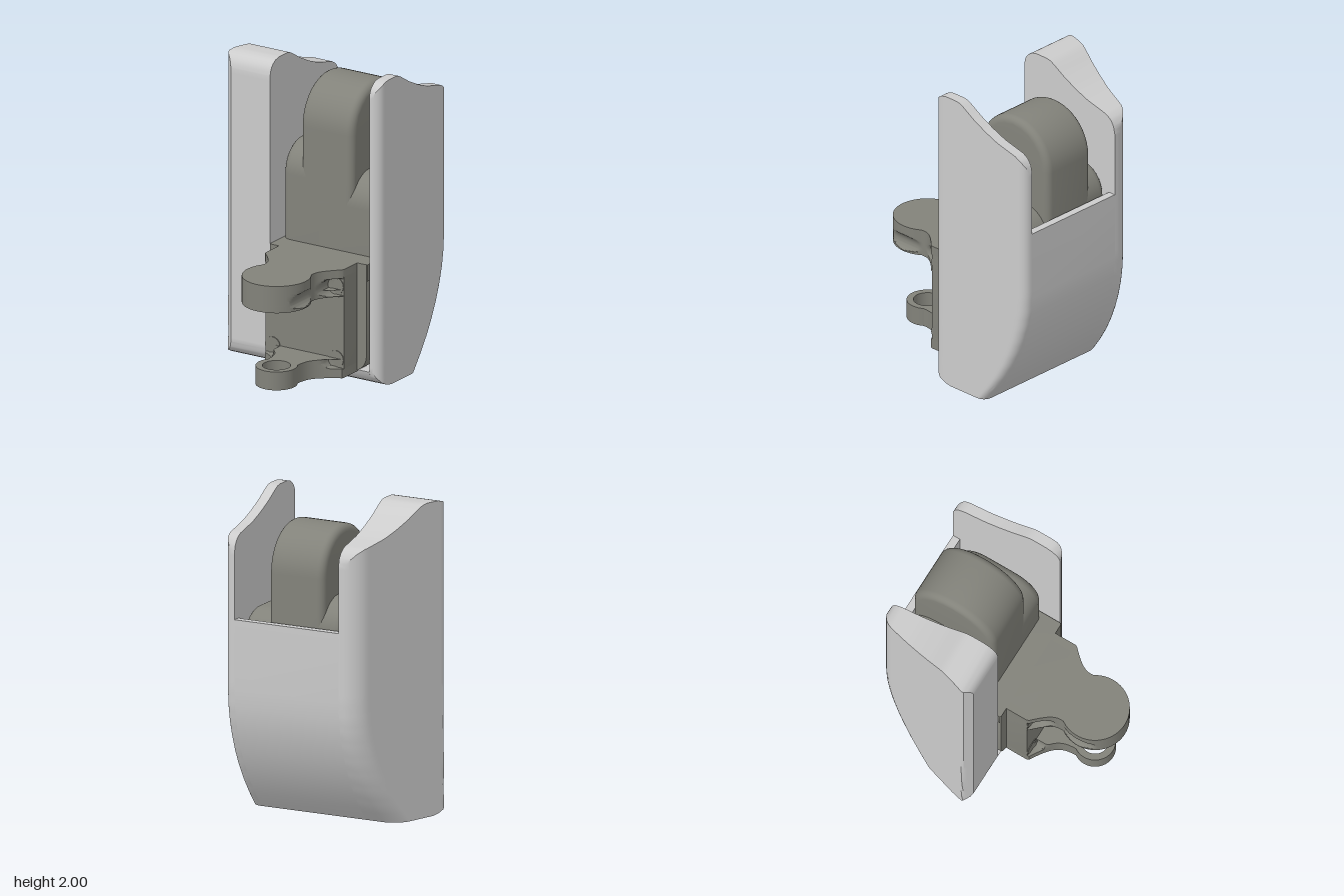
import * as THREE from 'three';
import { toCreasedNormals } from 'three/addons/utils/BufferGeometryUtils.js';

const shellMat = new THREE.MeshStandardMaterial({ color: 0xcccccc });
const coreMat = new THREE.MeshStandardMaterial({ color: 0x82827a });

// Linear interpolation through [key, value] pairs sorted by key
function lookup(table, k) {
  if (k <= table[0][0]) return table[0][1];
  for (let i = 1; i < table.length; i++) {
    const [a, va] = table[i - 1], [b, vb] = table[i];
    if (k <= b) return va + (vb - va) * (k - a) / (b - a);
  }
  return table[table.length - 1][1];
}

// Side profile of the shell: back z by height, top and bottom heights by z
const BACK = [[0, -0.39], [0.1, -0.47], [0.2, -0.54], [0.3, -0.598], [0.4, -0.645], [0.5, -0.682],
  [0.6, -0.71], [0.7, -0.727], [0.82, -0.735]];
const TOP = [[-0.735, 1.68], [-0.725, 1.73], [-0.7, 1.77], [-0.66, 1.795], [-0.5, 1.835], [-0.4, 1.875],
  [-0.3, 1.925], [-0.21, 1.98], [-0.18, 1.995], [-0.15, 2], [-0.06, 2], [-0.02, 1.99], [0.015, 1.965], [0.033, 1.935], [0.04, 1.9]];
const BOTTOM = [[-0.1, 0], [-0.05, 0.01], [0, 0.035], [0.028, 0.07], [0.04, 0.11]];
const FRONT_Z = 0.04;

// Inset of a rounded edge at distance d from the end
const fillet = (d, r) => (d >= r ? 0 : r - Math.sqrt(Math.max(0, r * r - (r - d) ** 2)));

function add(parent, name, geo, mat) {
  const mesh = new THREE.Mesh(toCreasedNormals(geo, 0.5), mat);
  mesh.name = name;
  parent.add(mesh);
  return mesh;
}

// Side wall: lofted in height, outer face given by outer(z, backZ), flat inner face
function wall(innerX, outer, flip) {
  const N = 40, M = 60, pos = [], idx = [];
  for (let j = 0; j <= M; j++) {
    const level = 2 * j / M, zb = lookup(BACK, level);
    for (let c = 0; c < 2 * N; c++) {
      const i = c < N ? c : 2 * N - 1 - c;
      const t = (1 - Math.cos(Math.PI * i / (N - 1))) / 2;
      const z = FRONT_Z + (zb - FRONT_Z) * t;
      const y = Math.min(Math.max(level, lookup(BOTTOM, z)), lookup(TOP, z));
      pos.push(c < N ? outer(z, zb) : innerX, y, z);
    }
  }
  const quad = (a, b, c, d) => (flip ? idx.push(a, c, b, a, d, c) : idx.push(a, b, c, a, c, d));
  for (let j = 0; j < M; j++)
    for (let c = 0; c < 2 * N; c++) {
      const n = (c + 1) % (2 * N), r = j * 2 * N, s = r + 2 * N;
      quad(r + c, r + n, s + n, s + c);
    }
  const top = M * 2 * N, last = 2 * N - 1;
  for (let i = 0; i < N - 1; i++) {
    quad(top + i, top + i + 1, top + last - i - 1, top + last - i);
    quad(last - i, last - i - 1, i + 1, i);
  }
  const g = new THREE.BufferGeometry();
  g.setAttribute('position', new THREE.Float32BufferAttribute(pos, 3));
  g.setIndex(idx);
  return g;
}

// Extrude a [z, y] profile from x0 to x1 with rounded rims
function acrossX(pts, x0, x1, bevel = 0) {
  const shape = new THREE.Shape(pts.map(([z, y]) => new THREE.Vector2(-z, y)));
  const g = new THREE.ExtrudeGeometry(shape, {
    depth: x1 - x0 - 2 * bevel, bevelEnabled: bevel > 0, bevelSize: bevel,
    bevelThickness: bevel, bevelOffset: -bevel, bevelSegments: 5 });
  return g.rotateY(Math.PI / 2).translate(x0 + bevel, 0, 0);
}

// Block profile with rounded top front and top back
function archProfile(top, r, z0 = -0.67, z1 = -0.08, base = 0.7) {
  const pts = [[z0, base], [z1, base]];
  for (let i = 0; i <= 24; i++) {
    const a = Math.PI * i / 24;
    const cz = i < 12 ? z1 - r : i > 12 ? z0 + r : (z0 + z1) / 2;
    pts.push([cz + r * Math.cos(a), top - r + r * Math.sin(a)]);
  }
  return pts;
}

// Upright block with rounded corners in the front view
function frontBlock(x0, x1, y0, y1, z0, z1, rLow, rHigh) {
  const s = new THREE.Shape();
  s.moveTo(x0 + rLow, y0);
  s.lineTo(x1 - rLow, y0).absarc(x1 - rLow, y0 + rLow, rLow, -Math.PI / 2, 0);
  s.lineTo(x1, y1 - rHigh).absarc(x1 - rHigh, y1 - rHigh, rHigh, 0, Math.PI / 2);
  s.lineTo(x0 + rHigh, y1).absarc(x0 + rHigh, y1 - rHigh, rHigh, Math.PI / 2, Math.PI);
  s.lineTo(x0, y0 + rLow).absarc(x0 + rLow, y0 + rLow, rLow, Math.PI, Math.PI * 1.5);
  return new THREE.ExtrudeGeometry(s, { depth: z1 - z0, bevelEnabled: false, curveSegments: 8 }).translate(0, 0, z0);
}

const CX = 0.135, KNUCKLE_Z = 0.52, SCREW_X = 0.235, SCREW_R = 0.055;

// Horizontal arm: wide root, narrow neck, round knuckle; sides scalloped by the screw bores
function arm(y0, y1, radius, neck, hole, screwY) {
  const curve = new THREE.CubicBezierCurve(new THREE.Vector2(0.285, 0.215), new THREE.Vector2(neck + 0.02, 0.3),
    new THREE.Vector2(neck - 0.01, 0.34), new THREE.Vector2(radius * 0.83, KNUCKLE_Z - radius * 0.557));
  const half = [new THREE.Vector2(0.29, 0.05), new THREE.Vector2(0.29, 0.2), ...curve.getPoints(12)];
  const a0 = Math.atan2(-0.557, 0.83);
  for (let i = 1; i <= 20; i++) {
    const a = a0 + (Math.PI / 2 - a0) * i / 20;
    half.push(new THREE.Vector2(radius * Math.cos(a), KNUCKLE_Z + radius * Math.sin(a)));
  }
  const mirrored = half.slice(0, -1).reverse().map(p => new THREE.Vector2(-p.x, p.y));
  const shape = new THREE.Shape([...half, ...mirrored].map(p => new THREE.Vector2(p.x, -p.y)));
  if (hole) shape.holes.push(new THREE.Path().absarc(0, -KNUCKLE_Z, hole, 0, Math.PI * 2));
  const g = new THREE.ExtrudeGeometry(shape, { depth: y1 - y0, steps: 12, bevelEnabled: false, curveSegments: 24 });
  g.rotateX(-Math.PI / 2).translate(0, y0, 0);
  const p = g.attributes.position;
  for (let i = 0; i < p.count; i++) {
    const dy = p.getY(i) - screwY;
    if (p.getZ(i) < 0.205 || Math.abs(dy) >= SCREW_R) continue;
    const limit = SCREW_X - Math.sqrt(SCREW_R ** 2 - dy * dy);
    p.setX(i, THREE.MathUtils.clamp(p.getX(i), -limit, limit));
  }
  return g.translate(CX, 0, 0);
}

export function createModel() {
  const model = new THREE.Group();
  model.name = 'model';

  // Outer shell: slim left wall, wide tapering right wall, curved back with floor
  const shell = new THREE.Group();
  shell.name = 'shell';
  add(shell, 'leftWall', wall(0.505,
    (z, zb) => 0.575 - fillet(z - zb, 0.06) - fillet(FRONT_Z - z, 0.065), false), shellMat);
  add(shell, 'rightWall', wall(-0.23,
    (z, zb) => Math.max(-0.575 + 0.305 * Math.max(0, -0.01 - z), -0.575 + 1.1 * (z + 0.01)) + fillet(z - zb, 0.1), true), shellMat);
  const outerCurve = BACK.map(([y, z]) => [z, y]);
  const innerCurve = BACK.slice(1).map(([y, z]) => [z + 0.05, y]).reverse();
  const backProfile = [...outerCurve, [-0.735, 1.26], [-0.685, 1.26], ...innerCurve,
    [FRONT_Z, 0.105], ...BOTTOM.slice(0, -1).reverse().map(([z, y]) => [z, y])];
  add(shell, 'backAndFloor', acrossX(backProfile.reverse(), -0.23, 0.505), shellMat);
  model.add(shell);

  // Inner mechanism housing
  const core = new THREE.Group();
  core.name = 'mechanism';
  add(core, 'lowerHousing', frontBlock(-0.22, 0.493, 0.1, 0.81, -0.4, 0.055, 0.11, 0.002), coreMat);
  add(core, 'upperHousingBase', frontBlock(-0.225, 0.5, 0.7, 0.81, -0.68, 0.05, 0.002, 0.002), coreMat);
  add(core, 'roundedRidge', acrossX(archProfile(1.86, 0.29), -0.087, 0.3, 0.045), coreMat);
  add(core, 'rightShoulder', acrossX(archProfile(1.44, 0.2), -0.22, 0.2, 0.055), coreMat);
  add(core, 'leftShoulder', acrossX(archProfile(1.31, 0.2), 0, 0.493, 0.055), coreMat);

  // Bracket with two arms
  add(core, 'bracketPlate', frontBlock(CX - 0.29, CX + 0.29, 0.1, 0.81, 0.05, 0.205, 0.06, 0.05), coreMat);
  add(core, 'upperArm', arm(0.675, 0.81, 0.215, 0.18, 0, 0.695), coreMat);
  add(core, 'upperArmSocket', arm(0.635, 0.675, 0.215, 0.18, 0.09, 0.695), coreMat);
  add(core, 'lowerArm', arm(0.1, 0.22, 0.13, 0.12, 0.088, 0.215), coreMat);

  // Screw heads at the bracket corners
  for (const side of [-1, 1])
    for (const y of [0.215, 0.695]) {
      const screw = add(core, 'screwHead', new THREE.CylinderGeometry(SCREW_R, SCREW_R, 0.03, 24).rotateX(Math.PI / 2), coreMat);
      screw.position.set(CX + side * SCREW_X, y, 0.195);
    }
  model.add(core);
  return model;
}
